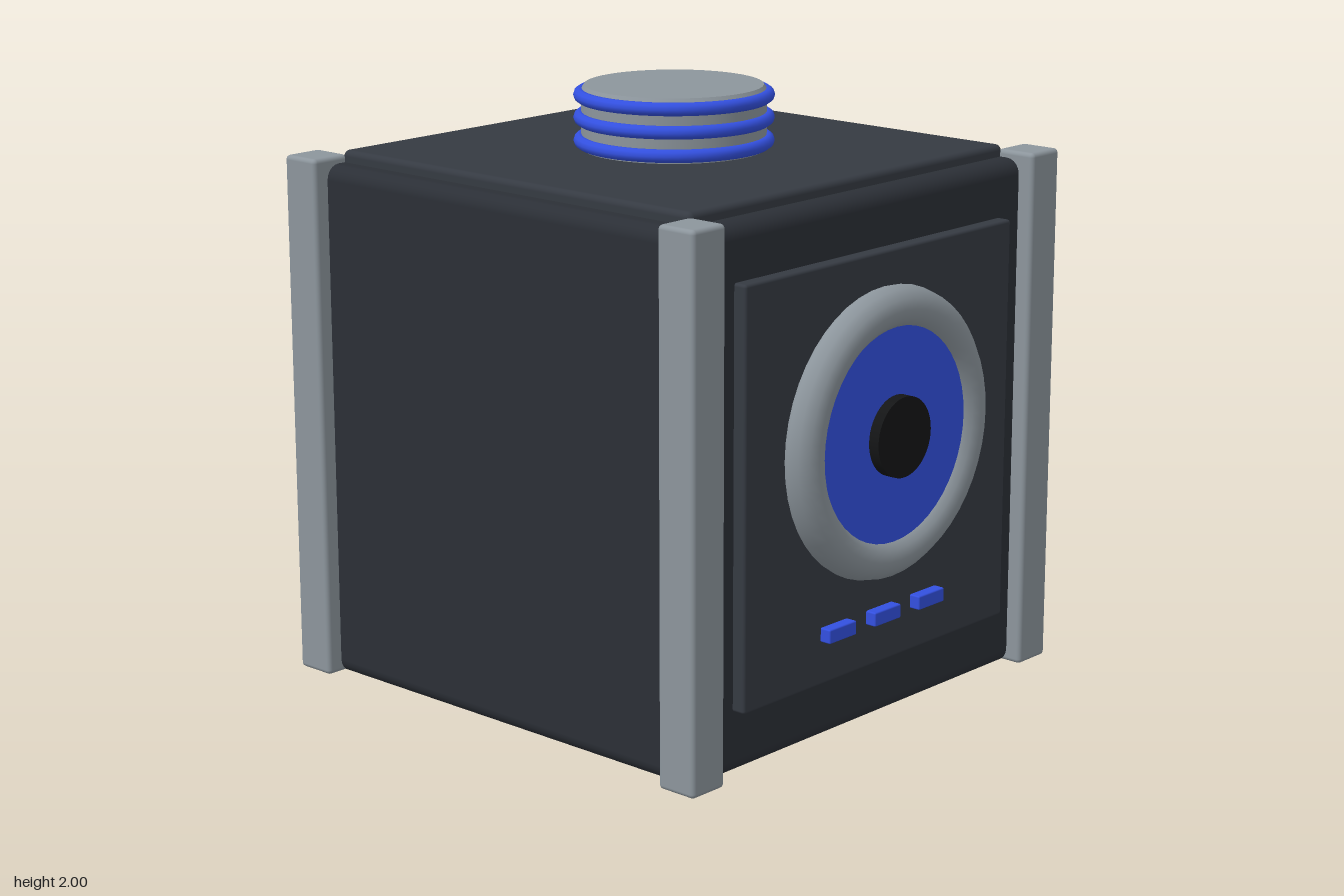
import * as THREE from 'three';
import { RoundedBoxGeometry } from 'three/addons/geometries/RoundedBoxGeometry.js';

const mat = (color) => new THREE.MeshStandardMaterial({ color });

export function createModel() {
  const model = new THREE.Group();
  const dark = mat(0x2b2f36), panel = mat(0x353a42), black = mat(0x141516);
  const grey = mat(0x8c959c), blue = mat(0x3350e0);
  const CX = -0.03, CZ = -0.043; // middle of the cube

  const add = (name, geometry, material, x, y, z) => {
    const mesh = new THREE.Mesh(geometry, material);
    mesh.name = name;
    mesh.position.set(x, y, z);
    model.add(mesh);
    return mesh;
  };
  // rounded box given by its lower and upper limits
  const box = (name, material, [x0, x1], [y0, y1], [z0, z1], r) =>
    add(name, new RoundedBoxGeometry(x1 - x0, y1 - y0, z1 - z0, 3, r), material,
      (x0 + x1) / 2, (y0 + y1) / 2, (z0 + z1) / 2);

  // cube body and lid plate
  box('body', dark, [CX - 0.847, CX + 0.847], [0, 1.75], [CZ - 0.847, CZ + 0.847], 0.05);
  box('topPlate', panel, [CX - 0.77, CX + 0.77], [1.7, 1.79], [CZ - 0.77, CZ + 0.77], 0.02);

  // corner posts
  for (const sx of [-1, 1]) for (const sz of [-1, 1]) {
    const x = CX + sx * 0.829, z = CZ + sz * 0.83;
    box('cornerPost', grey, [x - 0.073, x + 0.073], [0.005, 1.775], [z - 0.073, z + 0.073], 0.015);
  }

  // front panel with round lens
  box('frontPanel', panel, [-0.688, 0.628], [0.21, 1.57], [0.77, 0.85], 0.01);
  add('lensRing', new THREE.TorusGeometry(0.408, 0.07, 12, 48), grey, CX, 0.983, 0.865);
  const disc = (name, material, r, z0, z1) => {
    const mesh = add(name, new THREE.CylinderGeometry(r, r, z1 - z0, 48), material, CX, 0.983, (z0 + z1) / 2);
    mesh.rotation.x = Math.PI / 2;
  };
  disc('lensDisc', blue, 0.358, 0.84, 0.905);
  disc('lensPupil', black, 0.132, 0.88, 0.943);

  // three indicator lights below the lens
  for (let i = -1; i <= 1; i++) {
    const x = CX + i * 0.226;
    box('indicatorLight', blue, [x - 0.066, x + 0.066], [0.355, 0.402], [0.84, 0.888], 0.005);
  }

  // vent on the left side: slats, fins and a light strip
  for (let i = 0; i < 5; i++) {
    const y = 0.475 + i * 0.1888;
    box('ventSlat', black, [0.78, 0.842], [y - 0.034, y + 0.034], [-0.568, 0.492], 0.008);
  }
  for (let i = 0; i < 4; i++) {
    const z = 0.417 - i * 0.302;
    box('ventFin', grey, [0.81, 0.93], [0.385, 1.512], [z - 0.016, z + 0.016], 0.006);
  }
  box('lightStrip', blue, [0.8, 0.85], [0.3, 0.35], [-0.6, 0.527], 0.006);

  // round cap with three rings
  const profile = [[0, 1.77], [0.305, 1.77], [0.305, 1.985], [0.295, 2], [0, 2]];
  const cap = profile.slice(0, -1).map((p, i) => [p, profile[i + 1]]);
  // separate bands keep the edges sharp
  for (const band of cap.slice(1)) {
    add('cap', new THREE.LatheGeometry(band.map(([x, y]) => new THREE.Vector2(x, y)), 48), grey, CX, 0, CZ);
  }
  for (const y of [1.816, 1.892, 1.967]) {
    add('capRing', new THREE.TorusGeometry(0.309, 0.022, 10, 48), blue, CX, y, CZ).rotation.x = Math.PI / 2;
  }
  return model;
}
